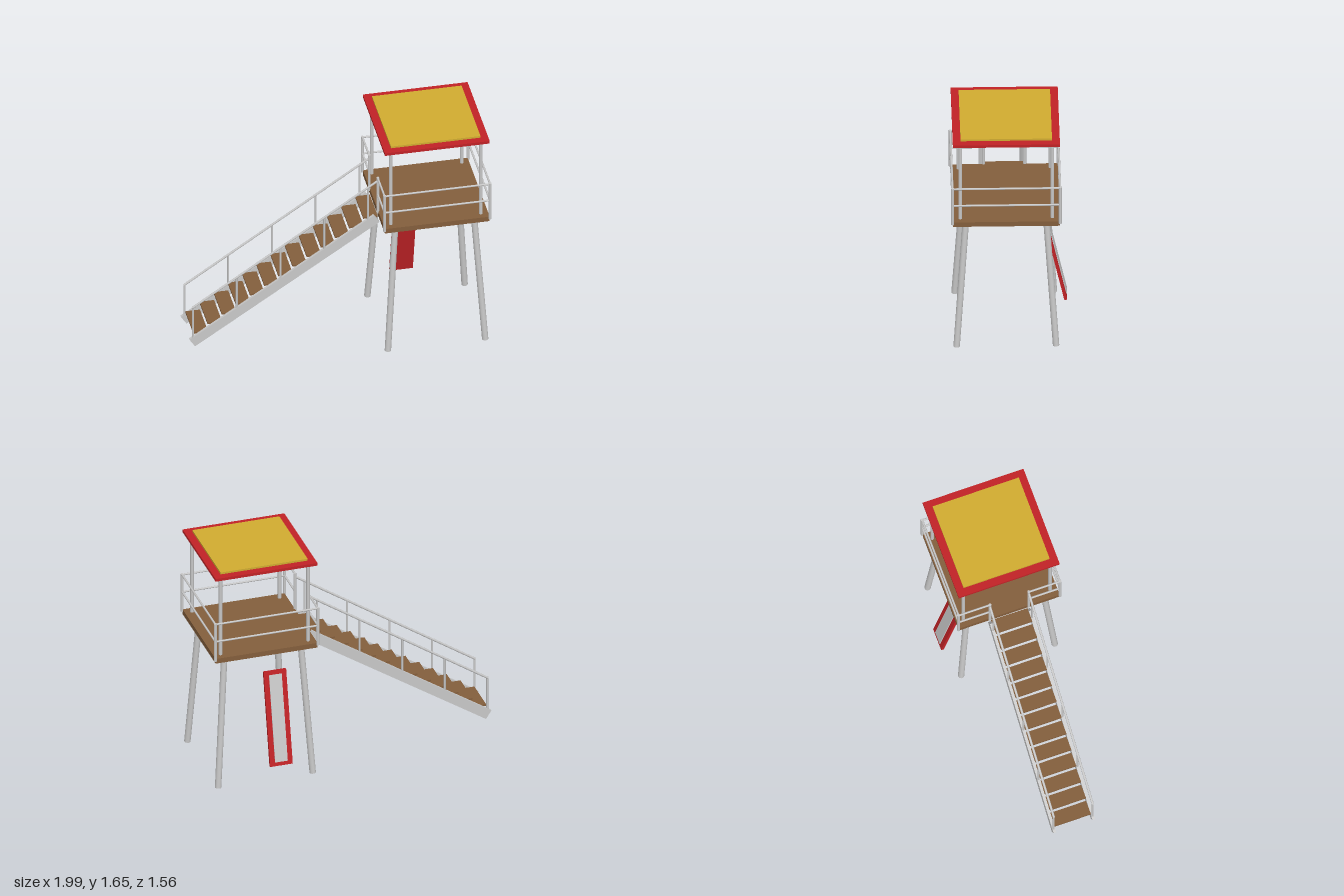
import * as THREE from 'three';

const mat = (name, color) => {
  const m = new THREE.MeshStandardMaterial({ color });
  m.name = name;
  return m;
};

export function createModel() {
  const metal = mat('light grey metal', 0xc8c8c8);
  const wood = mat('brown wood', 0x835e3c);
  const red = mat('red', 0xc02226);
  const yellow = mat('yellow', 0xd0ab30);

  const root = new THREE.Group();
  root.name = 'watchTower';
  // the whole tower is turned about its own axis
  const tower = new THREE.Group();
  tower.name = 'tower';
  tower.position.set(0.48, 0, 0.26);
  tower.rotation.y = -0.581;
  root.add(tower);

  const box = (name, material, w, h, d, x, y, z, rotX = 0, rotZ = 0) => {
    const m = new THREE.Mesh(new THREE.BoxGeometry(w, h, d), material);
    m.name = name;
    m.position.set(x, y, z);
    m.rotation.set(rotX, 0, rotZ);
    tower.add(m);
    return m;
  };

  // round bar between two points
  const up = new THREE.Vector3(0, 1, 0);
  const bar = (name, r, a, b, sides = 10) => {
    const p = new THREE.Vector3(...a), q = new THREE.Vector3(...b);
    const dir = q.clone().sub(p);
    const m = new THREE.Mesh(new THREE.CylinderGeometry(r, r, dir.length(), sides), metal);
    m.name = name;
    m.position.copy(p).add(q).multiplyScalar(0.5);
    m.quaternion.setFromUnitVectors(up, dir.normalize());
    tower.add(m);
  };

  // deck and roof
  box('deck', wood, 0.726, 0.036, 0.726, 0, 0.997, 0);
  box('roof', red, 0.726, 0.02, 0.726, 0, 1.625, 0);
  box('roofPanel', yellow, 0.62, 0.014, 0.62, 0, 1.642, 0);

  // splayed legs, roof posts and corner railing posts
  const E = 0.365;
  for (const sx of [-1, 1]) for (const sz of [-1, 1]) {
    bar('leg', 0.022, [sx * 0.337, 0, sz * 0.337], [sx * 0.272, 0.985, sz * 0.272]);
    bar('roofPost', 0.0125, [sx * 0.312, 1.0, sz * 0.312], [sx * 0.312, 1.62, sz * 0.312]);
    bar('railingPost', 0.0105, [sx * E, 1.0, sz * E], [sx * E, 1.29, sz * E]);
  }

  // railings, with a gap for the stairs on the -x side
  const G = 0.14;
  for (const y of [1.15, 1.284]) {
    bar('railing', 0.007, [E, y, -E], [E, y, E]);
    for (const s of [-1, 1]) {
      bar('railing', 0.007, [-E, y, s * E], [E, y, s * E]);
      bar('railing', 0.007, [-E, y, s * G], [-E, y, s * E]);
    }
  }
  for (const s of [-1, 1]) bar('gatePost', 0.01, [-E, 1.0, s * G], [-E, 1.29, s * G]);

  // stair stringers, handrails and handrail posts
  const x0 = -1.652, y0 = 0.12, x1 = -0.375, y1 = 0.96;
  const slope = (y1 - y0) / (x1 - x0);
  const stringerY = (x) => y0 + slope * (x - x0);
  const railY = (x) => 0.405 + 0.67 * (x + 1.645);
  for (const s of [-1, 1]) {
    box('stairStringer', metal, Math.hypot(x1 - x0, y1 - y0), 0.07, 0.02,
      (x0 + x1) / 2, (y0 + y1) / 2, s * G, 0, Math.atan(slope));
    bar('handrail', 0.008, [-1.65, railY(-1.65), s * G], [-E, railY(-E), s * G]);
    for (let k = 0; k < 5; k++) {
      const x = -1.645 + 0.303 * k;
      bar('handrailPost', 0.007, [x, stringerY(x), s * G], [x, railY(x), s * G]);
    }
  }

  // treads
  for (let i = 0; i < 13; i++) {
    box('stairTread', wood, 0.1, 0.012, 2 * G - 0.02, -1.59 + 0.098 * i, 0.187 + 0.0648 * i, 0);
  }

  // leaning board at the back with a pale strip on its outer face
  const tilt = Math.atan2(0.145, 0.66);
  const board = box('leaningBoard', red, 0.16, 0.675, 0.02, -0.088, 0.47, -0.338, tilt);
  const strip = new THREE.Mesh(new THREE.BoxGeometry(0.09, 0.62, 0.008), metal);
  strip.name = 'boardStrip';
  strip.position.z = -0.011;
  board.add(strip);

  return root;
}
